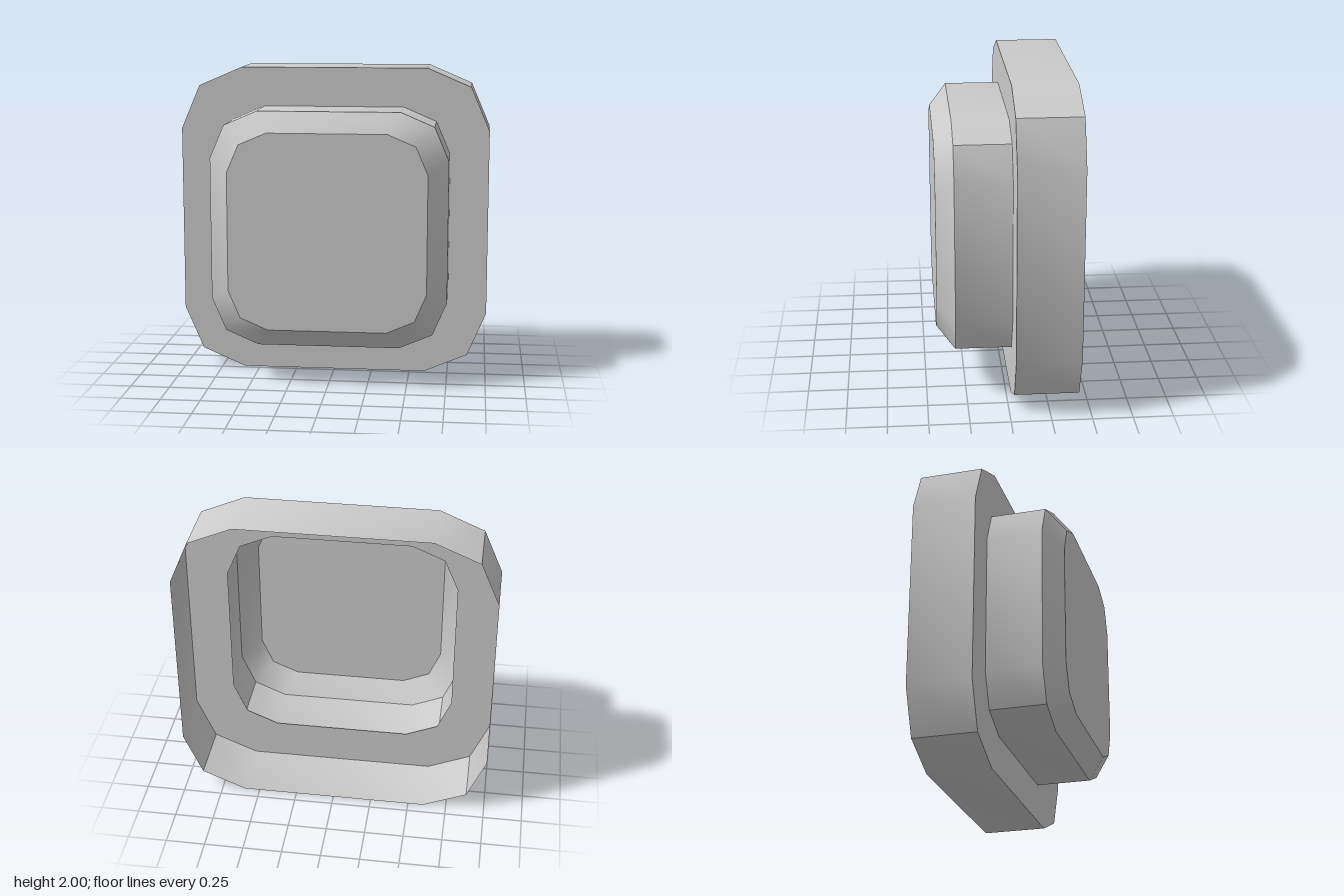
import * as THREE from 'three';
import { toCreasedNormals } from 'three/addons/utils/BufferGeometryUtils.js';

const material = new THREE.MeshStandardMaterial({ color: 0xcccccc, side: THREE.DoubleSide });
const CENTRE_Y = 1;

// Square with faceted corners, counter-clockwise, half-width s
function outline(s) {
  const corner = [[1, 0.6], [0.88, 0.88], [0.6, 1]];
  const points = [];
  for (let q = 0; q < 4; q++) {
    for (const [x, y] of corner) {
      points.push(new THREE.Vector2(x * s, y * s).rotateAround(new THREE.Vector2(), q * Math.PI / 2));
    }
  }
  return points;
}

// Open wall through outlines given as [half-width, z], from back to front
function wall(sections) {
  const positions = [];
  for (let k = 0; k < sections.length - 1; k++) {
    const [back, front] = [sections[k], sections[k + 1]].map(([s, z]) =>
      outline(s).map((p) => [p.x, p.y, z]));
    back.forEach((a, i) => {
      const j = (i + 1) % back.length;
      positions.push(...a, ...back[j], ...front[j], ...a, ...front[j], ...front[i]);
    });
  }
  const geometry = new THREE.BufferGeometry();
  geometry.setAttribute('position', new THREE.Float32BufferAttribute(positions, 3));
  return toCreasedNormals(geometry, Math.PI / 6);
}

// Flat sheet facing the front, optionally with a hole
function sheet(s, z, hole) {
  const shape = new THREE.Shape(outline(s));
  if (hole) shape.holes.push(new THREE.Path(outline(hole).reverse()));
  return new THREE.ShapeGeometry(shape).translate(0, 0, z);
}

export function createModel() {
  const model = new THREE.Group();
  const add = (name, geometry) => {
    const mesh = new THREE.Mesh(geometry, material);
    mesh.name = name;
    mesh.position.y = CENTRE_Y;
    model.add(mesh);
  };

  // Outer frame, open at the back; its face overlaps the button as a small lip
  add('frameWall', wall([[1, -0.43], [1, -0.03]]));
  add('frameFace', sheet(1, -0.03, 0.735));

  // Hollow button with a bevelled front
  add('buttonWall', wall([[0.75, -0.03], [0.75, 0.32], [0.625, 0.43]]));
  add('buttonFace', sheet(0.625, 0.43));

  return model;
}
